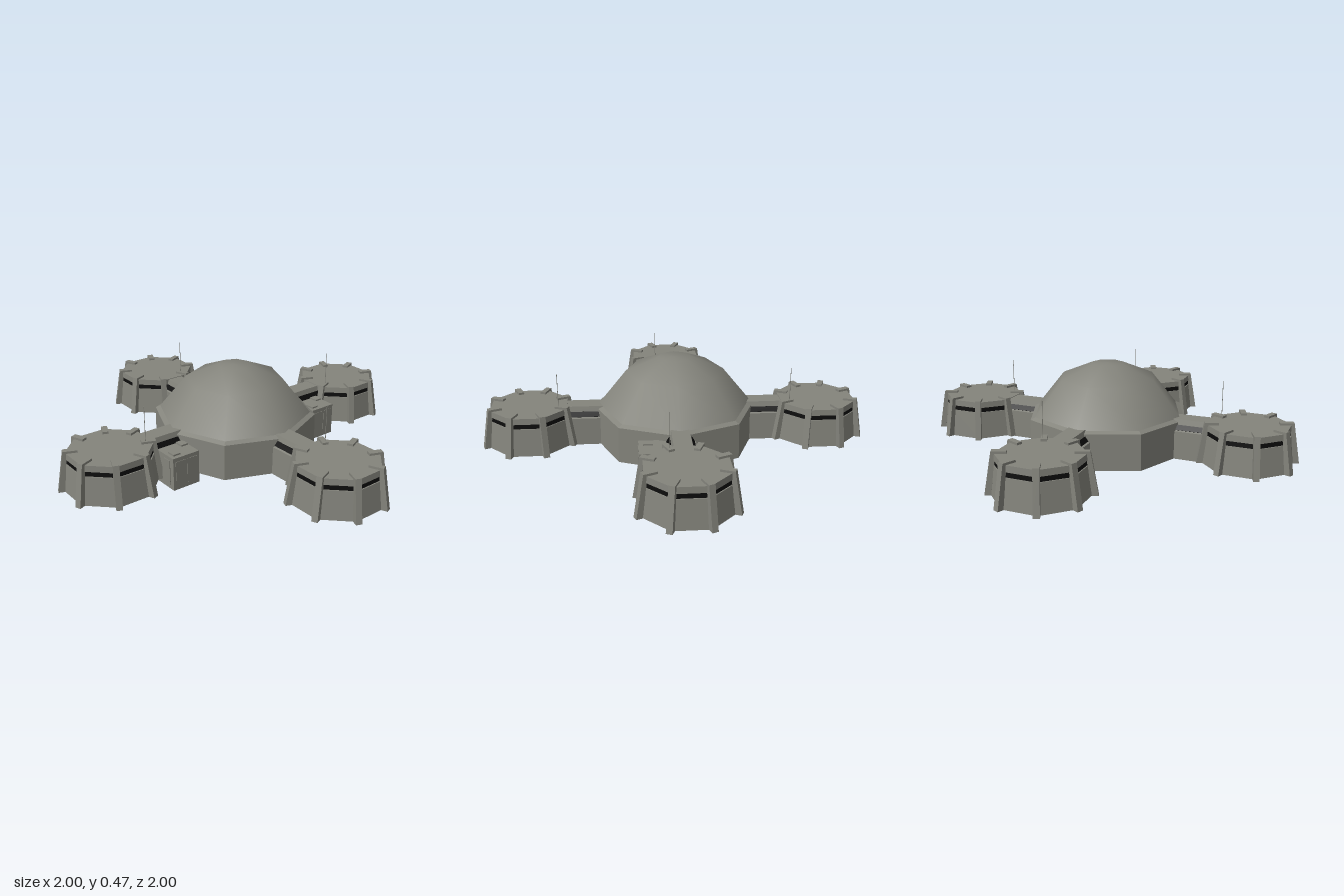
import * as THREE from 'three';

export function createModel() {
  const model = new THREE.Group();
  model.name = 'domeBase';
  const grey = new THREE.MeshStandardMaterial({ color: 0x84847c, side: THREE.DoubleSide });
  grey.name = 'concrete grey';
  const black = new THREE.MeshStandardMaterial({ color: 0x0c0c0c, side: THREE.DoubleSide });
  black.name = 'window black';

  const add = (parent, name, geometry, material, x = 0, y = 0, z = 0) => {
    const mesh = new THREE.Mesh(geometry, material);
    mesh.name = name;
    mesh.position.set(x, y, z);
    parent.add(mesh);
    return mesh;
  };
  const vectors = (pts) => pts.map(([x, y]) => new THREE.Vector2(x, y));
  // Eight-sided turned shape with hard edges
  const octagon = (pts, start) => {
    const g = new THREE.LatheGeometry(vectors(pts), 8, start).toNonIndexed();
    g.computeVertexNormals();
    return g;
  };
  const extrude = (pts, depth) =>
    new THREE.ExtrudeGeometry(new THREE.Shape(vectors(pts)), { depth, bevelEnabled: false });

  // Central hall: straight wall, narrow sloped rim and smooth dome
  const hall = new THREE.Group();
  hall.name = 'centralHall';
  hall.position.set(-0.005, 0, -0.004);
  model.add(hall);
  add(hall, 'hallWall', octagon([[0, 0.02], [0.428, 0.02], [0.425, 0.205], [0.4, 0.217]], 0), grey);
  add(hall, 'dome', new THREE.LatheGeometry(
    vectors([[0.4, 0.217], [0.255, 0.395], [0.085, 0.467], [0, 0.47]]), 8), grey);

  // Geometry shared by the four pods
  const lowerWall = octagon([[0.23, 0.025], [0.214, 0.168], [0.208, 0.168]], Math.PI / 8);
  const windowBand = octagon([[0.208, 0.168], [0.206, 0.193]], Math.PI / 8);
  const roof = octagon([[0.206, 0.193], [0.213, 0.193], [0.211, 0.224], [0, 0.224]], Math.PI / 8);
  const rib = extrude([[0.225, 0.025], [0.256, 0.025], [0.22, 0.235],
    [0.15, 0.235], [0.15, 0.222], [0.2, 0.222]], 0.03).translate(0, 0, -0.015);

  // Geometry shared by the four corridors
  const half = [[0.08, 0.02], [0.076, 0.165], [0.066, 0.168], [0.052, 0.194], [0.045, 0.221]];
  const mirrored = half.map(([x, y]) => [-x, y]).reverse();
  const tunnel = extrude([...half, ...mirrored], 0.24);
  const tunnelWindow = (s) => extrude([[0.066, 0.169], [0.069, 0.171], [0.055, 0.195], [0.052, 0.194]]
    .map(([x, y]) => [s * x, y]), 0.24);
  const windows = [tunnelWindow(1), tunnelWindow(-1)];

  for (let k = 0; k < 4; k++) {
    const wing = new THREE.Group();
    wing.name = 'wing' + (k + 1);
    wing.position.set(-0.002, 0, -0.002);
    wing.rotation.y = k * Math.PI / 2;
    model.add(wing);

    add(wing, 'corridor', tunnel, grey, 0, 0, 0.34);
    for (const g of windows) add(wing, 'corridorWindow', g, black, 0, 0, 0.34);

    // Pod, open underneath, with a leaning rib at each corner
    const pod = new THREE.Group();
    pod.name = 'pod';
    pod.position.z = 0.758;
    wing.add(pod);
    add(pod, 'podWall', lowerWall, grey);
    add(pod, 'podWindowBand', windowBand, black);
    add(pod, 'podRoof', roof, grey);
    for (let i = 0; i < 8; i++) {
      add(pod, 'podRib', rib, grey).rotation.y = (i + 0.5) * Math.PI / 4;
    }
  }

  // Antennas on the inner edge of each pod roof
  const mast = new THREE.CylinderGeometry(0.0015, 0.0015, 0.195, 6);
  const foot = new THREE.CylinderGeometry(0.006, 0.006, 0.015, 6);
  for (const [x, z] of [[0.6, 0.067], [-0.604, 0.067], [0.067, 0.602], [0.067, -0.606]]) {
    add(model, 'antenna', mast, grey, x, 0.315, z);
    add(model, 'antennaFoot', foot, grey, x, 0.225, z);
  }

  // Equipment boxes in front of the side corridors
  for (const x of [-0.465, 0.45]) {
    const box = new THREE.Group();
    box.name = 'equipmentBox';
    box.position.x = x;
    model.add(box);
    add(box, 'boxBody', new THREE.BoxGeometry(0.15, 0.17, 0.145), grey, 0, 0.085, 0.13);
    const hatch = new THREE.BoxGeometry(0.04, 0.008, 0.048);
    add(box, 'roofHatch', hatch, grey, -0.037, 0.174, 0.156);
    add(box, 'roofHatch', hatch, grey, 0.052, 0.174, 0.093);
    for (const s of [-1, 1]) {
      add(box, 'frontPanel', new THREE.BoxGeometry(0.055, 0.13, 0.004), grey, s * 0.034, 0.085, 0.203);
      add(box, 'sidePanel', new THREE.BoxGeometry(0.004, 0.13, 0.05), grey, s * 0.076, 0.085, 0.15);
    }
  }
  return model;
}
